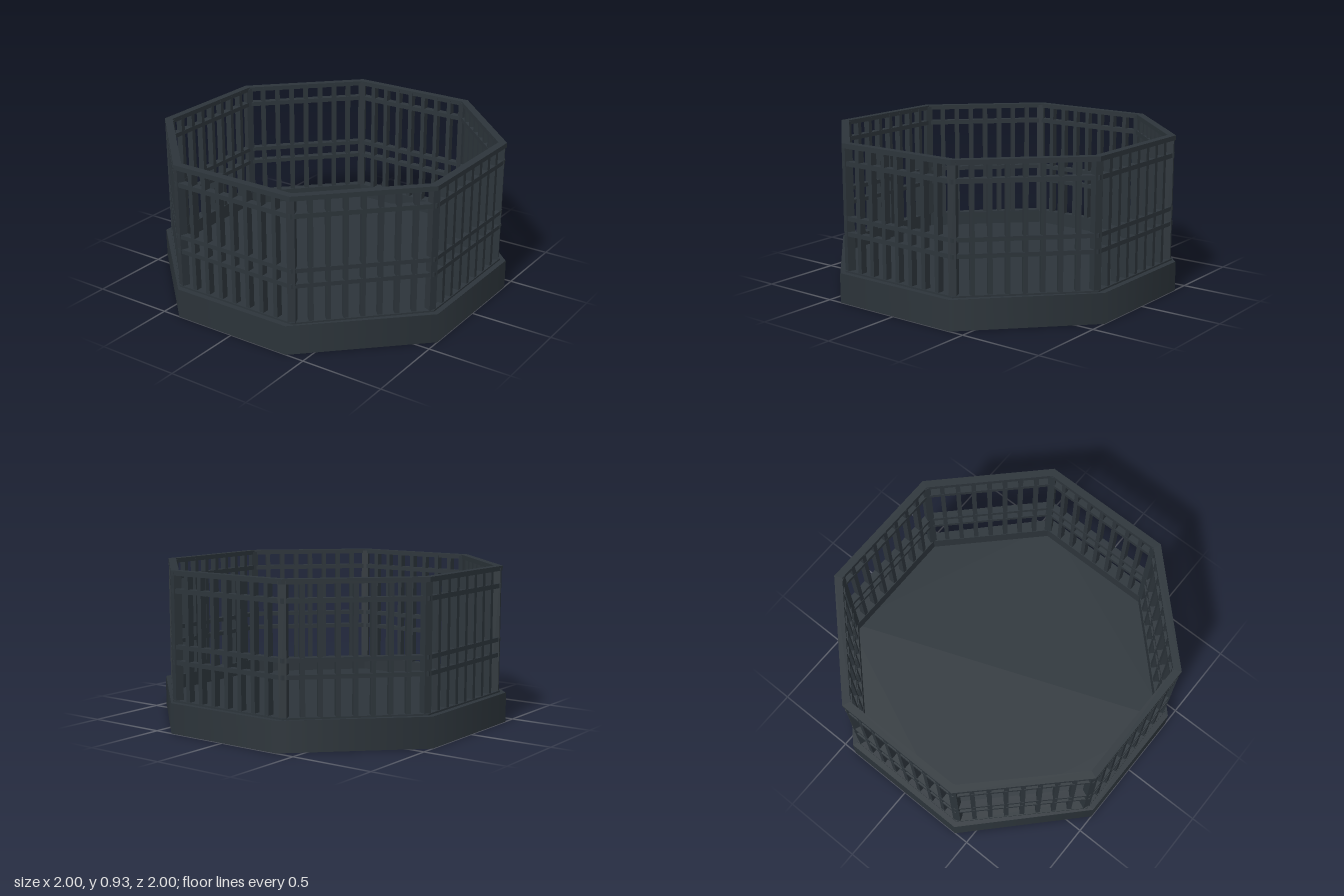
import * as THREE from 'three';

export function createModel() {
  const model = new THREE.Group();
  const slate = new THREE.MeshStandardMaterial({ color: 0x2c343a });
  slate.name = 'dark slate';
  const T = Math.tan(Math.PI / 8);
  const baseTop = 0.177, floorY = 0.1, top = 0.932;

  // Octagon outline: a = half extent, cx / cz = half lengths of the front and side edges
  const octagon = (a, cx = a * T, cz = a * T) => [
    [a, cz], [cx, a], [-cx, a], [-a, cz], [-a, -cz], [-cx, -a], [cx, -a], [a, -cz],
  ].map(([x, y]) => new THREE.Vector2(x, y));

  // Horizontal octagonal slab from y0 to y1, optionally with an opening
  function slab(name, outline, y0, y1, opening) {
    const shape = new THREE.Shape(outline);
    if (opening) shape.holes.push(new THREE.Path(opening));
    const geo = new THREE.ExtrudeGeometry(shape, { depth: y1 - y0, bevelEnabled: false });
    geo.rotateX(-Math.PI / 2).translate(0, y0, 0);
    const mesh = new THREE.Mesh(geo, slate);
    mesh.name = name;
    model.add(mesh);
  }

  // Softly shaded skirt around the platform, front and back edges slightly shortened
  const radius = 1 / Math.cos(Math.PI / 8);
  const skirtGeo = new THREE.CylinderGeometry(radius, radius, baseTop, 8, 1, true, Math.PI / 8);
  const p = skirtGeo.attributes.position;
  for (let i = 0; i < p.count; i++) {
    const x = p.getX(i), z = p.getZ(i);
    if (Math.abs(z) > 0.9) p.setX(i, Math.sign(x) * 0.385);
    if (Math.abs(x) > 0.9) p.setZ(i, Math.sign(z) * 0.41);
  }
  const skirt = new THREE.Mesh(skirtGeo, slate);
  skirt.name = 'platformSkirt';
  skirt.position.y = baseTop / 2;
  model.add(skirt);

  // Sunken floor and the raised curb that carries the fence
  const core = octagon(0.998, 0.384, 0.409);
  slab('floor', core, 0, floorY);
  slab('curb', core, floorY, baseTop, octagon(0.915));

  // Rails running around the fence
  slab('bottomRail', octagon(0.965), baseTop, 0.187, octagon(0.915));
  for (const [y0, y1] of [[0.393, 0.418], [0.484, 0.509], [0.802, 0.829]]) {
    slab('middleRail', octagon(0.961), y0, y1, octagon(0.917));
  }
  slab('topRail', octagon(0.965), 0.904, top, octagon(0.919));

  // Fence panels: seven deep bars on each side and a post at each corner
  const height = top - 0.01 - baseTop;
  const midY = baseTop + height / 2;
  const barGeo = new THREE.BoxGeometry(0.027, height, 0.041);
  const postGeo = new THREE.BoxGeometry(0.045, height, 0.047);
  const spacing = 0.096;
  for (let side = 0; side < 8; side++) {
    const panel = new THREE.Group();
    panel.name = 'fencePanel';
    panel.rotation.y = side * Math.PI / 4;
    for (let i = -3; i <= 3; i++) {
      const bar = new THREE.Mesh(barGeo, slate);
      bar.name = 'bar';
      bar.position.set(i * spacing, midY, 0.939);
      panel.add(bar);
    }
    const corner = new THREE.Group();
    corner.name = 'cornerPost';
    corner.rotation.y = Math.PI / 8;
    const post = new THREE.Mesh(postGeo, slate);
    post.name = 'post';
    post.position.set(0, midY, 1.012);
    corner.add(post);
    panel.add(corner);
    model.add(panel);
  }
  return model;
}
